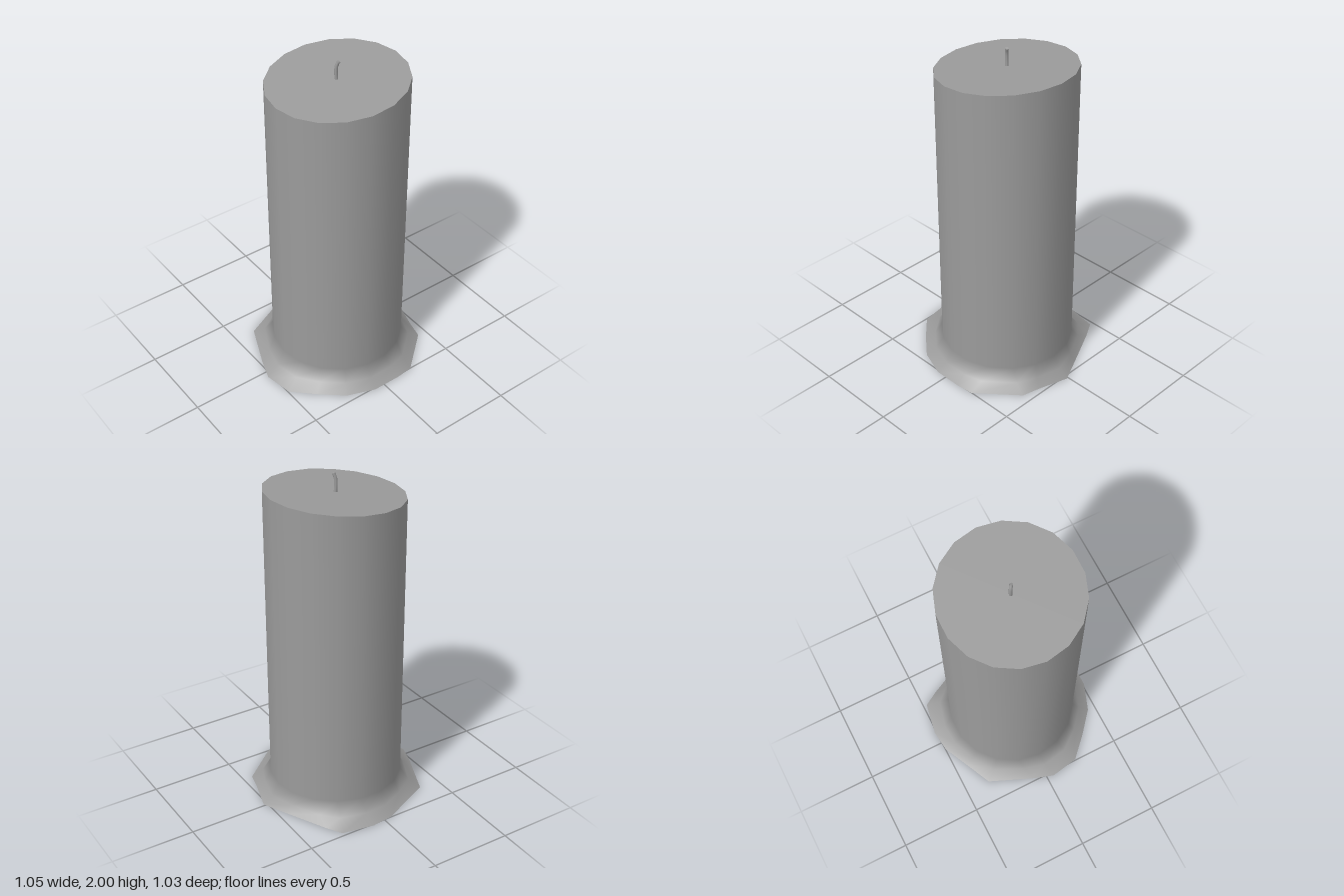
import * as THREE from 'three';

const SIDES = 18, CX = 0.017, CZ = 0.012, RADIUS = 0.4;
const material = new THREE.MeshStandardMaterial({ color: 0x9b9b9b });

// Irregular outline of the melted wax on the ground, as x, z
const FOOT = [
  [0.523, 0.012], [0.468, 0.193], [0.442, 0.303], [0.212, 0.502], [0.107, 0.513], [-0.068, 0.513],
  [-0.235, 0.452], [-0.37, 0.338], [-0.495, 0.217], [-0.525, 0.043], [-0.48, -0.088], [-0.37, -0.347],
  [-0.21, -0.422], [-0.05, -0.498], [0.08, -0.513], [0.277, -0.477], [0.332, -0.383], [0.452, -0.138],
];

function makeRing(pointAt) {
  return Array.from({ length: SIDES }, (_, i) => pointAt(i));
}

function makeMesh(name, points, index) {
  const geometry = new THREE.BufferGeometry().setFromPoints(points);
  geometry.setIndex(index);
  geometry.computeVertexNormals();
  const mesh = new THREE.Mesh(geometry, material);
  mesh.name = name;
  return mesh;
}

// Smooth skin through rings ordered from bottom to top
function loft(name, rings) {
  const index = [];
  for (let r = 0; r < rings.length - 1; r++) {
    for (let i = 0; i < SIDES; i++) {
      const a = r * SIDES + i, b = r * SIDES + (i + 1) % SIDES;
      index.push(a, a + SIDES, b, b, a + SIDES, b + SIDES);
    }
  }
  return makeMesh(name, rings.flat(), index);
}

// Flat fan closing a ring
function cap(name, ring, up) {
  const centre = ring.reduce((sum, p) => sum.add(p), new THREE.Vector3()).divideScalar(SIDES);
  const index = [];
  for (let i = 0; i < SIDES; i++) {
    const a = i + 1, b = (i + 1) % SIDES + 1;
    index.push(0, ...(up ? [b, a] : [a, b]));
  }
  return makeMesh(name, [centre, ...ring], index);
}

export function createModel() {
  const candle = new THREE.Group();
  candle.name = 'candle';

  // Round column with a slanted top
  const column = (heightAt) => makeRing((i) => {
    const t = i / SIDES * Math.PI * 2;
    const x = CX + RADIUS * Math.cos(t);
    return new THREE.Vector3(x, heightAt(x), CZ + RADIUS * Math.sin(t));
  });
  const top = column((x) => 1.89 + 0.0875 * (x - CX));
  const neck = column(() => 0.115);

  // Melted wax flaring out to the ground
  const foot = makeRing((i) => new THREE.Vector3(FOOT[i][0], 0, FOOT[i][1]));
  const flare = makeRing((i) => neck[i].clone().lerp(foot[i], 0.42).setY(0.042));
  const body = loft('waxBody', [foot, flare, neck, top]);

  // Radial normals keep the column evenly round
  for (let i = 0; i < SIDES; i++) {
    const t = i / SIDES * Math.PI * 2;
    for (const ring of [2, 3]) {
      body.geometry.attributes.normal.setXYZ(ring * SIDES + i, Math.cos(t), 0, Math.sin(t));
    }
  }
  candle.add(body, cap('waxTop', top, true), cap('waxUnderside', foot, false));

  // Bent wick with closed tip
  const path = new THREE.CatmullRomCurve3([
    new THREE.Vector3(0.015, 1.87, 0.009),
    new THREE.Vector3(0.012, 1.93, 0.007),
    new THREE.Vector3(0.014, 1.97, 0.009),
    new THREE.Vector3(0.022, 1.997, 0.016),
  ]);
  const wick = new THREE.Mesh(new THREE.TubeGeometry(path, 8, 0.01, 8), material);
  wick.name = 'wick';
  const tip = new THREE.Mesh(new THREE.CircleGeometry(0.01, 8), material);
  tip.name = 'wickTip';
  tip.position.copy(path.getPoint(1));
  tip.quaternion.setFromUnitVectors(new THREE.Vector3(0, 0, 1), path.getTangent(1));
  candle.add(wick, tip);

  return candle;
}
